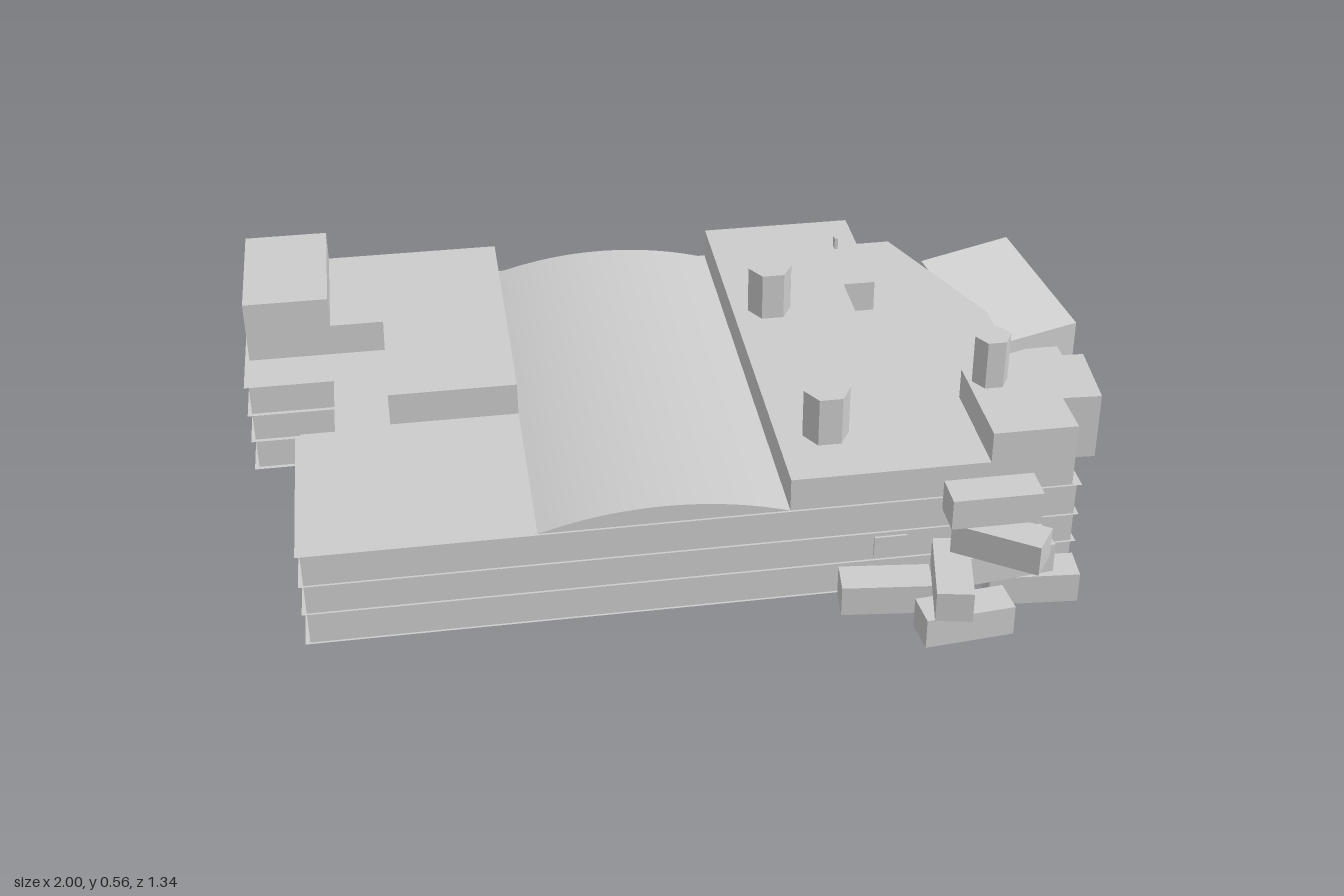
import * as THREE from 'three';
import { toCreasedNormals } from 'three/addons/utils/BufferGeometryUtils.js';

export function createModel() {
  const model = new THREE.Group();
  const solid = new THREE.MeshStandardMaterial({ color: 0xcccccc, flatShading: true });
  const smooth = new THREE.MeshStandardMaterial({ color: 0xcccccc });
  const thin = new THREE.MeshStandardMaterial({ color: 0xcccccc, side: THREE.DoubleSide });

  const add = (name, geometry, material = solid) => {
    const mesh = new THREE.Mesh(geometry, material);
    mesh.name = name;
    model.add(mesh);
    return mesh;
  };
  // Plan outlines are [x, z] pairs; the shape plane maps to (x, -z)
  const plan = (pts, holes = []) => {
    const toPath = (p) => p.map(([x, z]) => new THREE.Vector2(x, -z));
    const shape = new THREE.Shape(toPath(pts));
    shape.holes = holes.map((h) => new THREE.Path(toPath(h)));
    return shape;
  };
  const rect = (x0, x1, z0, z1) => [[x0, z0], [x1, z0], [x1, z1], [x0, z1]];
  const prism = (name, pts, y0, y1, holes) => {
    const geo = new THREE.ExtrudeGeometry(plan(pts, holes), { depth: y1 - y0, bevelEnabled: false });
    return add(name, geo.rotateX(-Math.PI / 2).translate(0, y0, 0));
  };

  // Walls, with long slots open in the underside
  const walls = [[-0.99, -0.665], [0.585, -0.665], [0.73, -0.29], [0.73, 0.435],
    [-0.875, 0.435], [-0.875, -0.01], [-0.79, -0.01], [-0.79, -0.23], [-0.99, -0.23]];
  const slots = [0.2, 0.09, -0.02].map((x) => rect(x - 0.025, x + 0.025, -0.45, 0.32));
  prism('lowerWalls', walls, 0.08, 0.155, slots);
  prism('upperWalls', walls, 0.155, 0.3);

  // Paper-thin floor slabs that overhang the walls
  const slab = [[-1, -0.675], [0.59, -0.675], [0.74, -0.29], [0.74, 0.44],
    [-0.885, 0.44], [-0.885, 0], [-0.8, 0], [-0.8, -0.22], [-1, -0.22]];
  [0.08, 0.155, 0.225, 0.3].forEach((y, i) => {
    const geo = new THREE.ShapeGeometry(plan(slab, i === 0 ? slots : []));
    add(i === 3 ? 'roofSlab' : 'floorSlab', geo.rotateX(-Math.PI / 2).translate(0, y, 0), thin);
  });

  // Vertical fins on the back wall
  for (const x of [-0.8, -0.68]) {
    add('wallFin', new THREE.PlaneGeometry(0.01, 0.22).rotateY(Math.PI / 2).translate(x, 0.19, -0.67), thin);
  }

  // Shallow vaulted roof
  const arch = new THREE.Shape();
  const half = 0.26, rise = 0.04;
  const radius = (half * half + rise * rise) / (2 * rise);
  const sweep = Math.asin(half / radius);
  arch.absarc(-0.14, 0.34 - radius, radius, Math.PI / 2 - sweep, Math.PI / 2 + sweep, false);
  const vault = new THREE.ExtrudeGeometry(arch, { depth: 1.1, bevelEnabled: false, curveSegments: 16 });
  add('vaultedRoof', toCreasedNormals(vault.translate(0, 0, -0.665), 0.5), smooth);

  // Raised roof storeys and their towers
  prism('rightRoofStorey', [[-0.99, -0.665], [-0.4, -0.665], [-0.4, -0.02],
    [-0.68, -0.02], [-0.68, -0.34], [-0.99, -0.34]], 0.3, 0.375);
  prism('rightTower', rect(-0.99, -0.8, -0.665, -0.34), 0.375, 0.445);
  prism('leftRoofStorey', [[0.12, -0.665], [0.475, -0.665], [0.475, -0.345], [0.4, -0.345],
    [0.4, 0.05], [0.43, 0.05], [0.43, 0.18], [0.72, 0.18], [0.72, 0.435], [0.12, 0.435]], 0.3, 0.375);
  prism('leftTower', rect(0.54, 0.72, 0.18, 0.435), 0.375, 0.445);

  // Six-sided chimneys and a small post
  for (const [x, y, z, r] of [[0.205, 0.375, -0.26, 0.05], [0.225, 0.375, 0.275, 0.05], [0.588, 0.445, 0.23, 0.039]]) {
    add('chimney', new THREE.CylinderGeometry(r, r, 0.11, 6).rotateY(Math.PI / 6).translate(x, y + 0.055, z));
  }
  add('roofPost', new THREE.BoxGeometry(0.008, 0.028, 0.018).translate(0.42, 0.389, -0.53));

  // Side annexes
  prism('frontAnnex', [[0.765, -0.165], [0.94, -0.155], [0.925, 0.03], [0.75, 0.02]], 0.08, 0.245);
  prism('lowAnnex', [[0.765, -0.335], [0.94, -0.335], [0.94, -0.155], [0.765, -0.165]], 0.08, 0.16);
  // Back annex: its top slopes down from the back edge to the front edge
  const annex = prism('slopedAnnex', [[0.65, -0.57], [0.895, -0.66], [1, -0.38], [0.755, -0.3]], 0.08, 0.295);
  const pos = annex.geometry.attributes.position;
  for (let i = 0; i < pos.count; i++) {
    if (pos.getY(i) > 0.2 && pos.getZ(i) > -0.45) pos.setY(i, 0.195);
  }
  annex.geometry.computeVertexNormals();

  // Stacked crates: x, z, base level, turn about y
  const crates = [[0.315, 0.49, 0, -0.11], [0.625, 0.502, 0, -0.08], [0.455, 0.603, 0, 0.09],
    [0.435, 0.565, 1, 1.37], [0.565, 0.5, 1, 0.12], [0.54, 0.54, 2, -0.6], [0.53, 0.497, 3, 0]];
  for (const [x, z, level, turn] of crates) {
    const crate = add('crate', new THREE.BoxGeometry(0.19, 0.069, 0.076));
    crate.position.set(x, 0.1145 + level * 0.069, z);
    crate.rotation.y = turn;
  }
  add('wallPlate', new THREE.BoxGeometry(0.07, 0.045, 0.006).translate(0.335, 0.19, 0.437));

  // Thin entry ramps below the floor: x, low end z, high end z
  for (const [x, low, high] of [[0.69, 0.39, 0.22], [-0.89, -0.62, -0.45]]) {
    const ramp = new THREE.PlaneGeometry(0.064, 1);
    const p = ramp.attributes.position;
    for (let i = 0; i < p.count; i++) {
      const top = p.getY(i) > 0;
      p.setXYZ(i, p.getX(i) + x, top ? 0.08 : 0, top ? high : low);
    }
    ramp.computeVertexNormals();
    add('entryRamp', ramp, thin);
  }
  return model;
}
